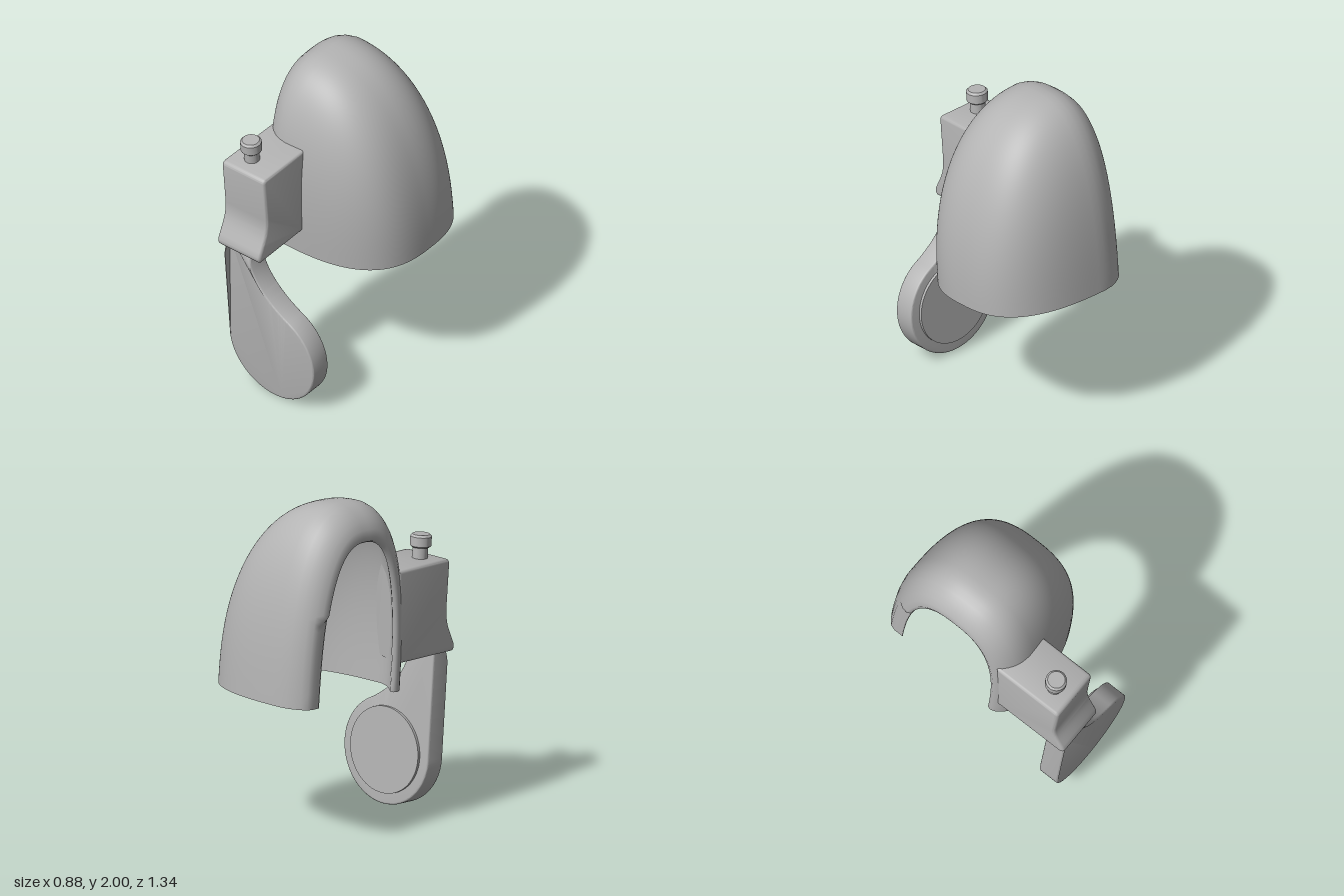
import * as THREE from 'three';
import { toCreasedNormals } from 'three/addons/utils/BufferGeometryUtils.js';

const TILT = 0.085;
const HALF_PI = Math.PI / 2;

// Superellipse helpers: power of a sine or cosine, and falloff from 1 to 0
const sp = (t, n) => Math.sign(t) * Math.abs(t) ** (2 / n);
const falloff = (t, n) => Math.max(0, 1 - t ** n) ** (1 / n);

// Stations of the shell: x position, arch half-width and arch height
function shellStations() {
  const W = 0.477, H = 1.141, X0 = -0.25, T = 0.05, STEPS = 40;
  const dome = (inset, i) => {
    const t = i === STEPS ? 1 : sp(Math.sin((i / STEPS) * HALF_PI), 2.4);
    return [X0 + (0.687 - inset) * t, (W - inset) * falloff(t, 2.7), (H - inset) * falloff(t, 2.2)];
  };
  const rim = ([x, d]) => [x, W - d, H - d * 1.3];
  const outerRim = [[-0.3, 0.009], [-0.34, 0.024], [-0.375, 0.045], [-0.405, 0.07], [-0.43, 0.103], [-0.44, 0.135]];
  const innerRim = [[-0.433, 0.155], [-0.415, 0.162], [-0.395, 0.145], [-0.365, 0.115], [-0.335, 0.09], [-0.3, 0.07]];
  const list = [];
  for (let i = STEPS; i >= 0; i--) list.push(dome(0, i));
  list.push(...outerRim.map(rim), ...innerRim.map(rim));
  for (let i = 0; i <= STEPS; i++) list.push(dome(T, i));
  return list;
}

function shellGeometries() {
  const stations = shellStations();
  const N = stations.length, U = 80;
  const point = (u, v) => {
    const a = (u / U) * Math.PI;
    const [x, w, h] = stations[v];
    const y = u === U ? 0 : h * sp(Math.sin(a), 2.65);
    const z = -w * sp(Math.cos(a), 2.65);
    // The rear leg of the rim is trimmed shorter
    const trimmed = z < -0.25 && y < 0.52;
    return [trimmed ? Math.max(x, -0.415) : x, y, z];
  };

  // Outer skin, rolled rim and inner skin as one grid
  const pos = [], idx = [];
  for (let u = 0; u <= U; u++) {
    for (let v = 0; v < N; v++) {
      pos.push(...point(u, v));
      if (u < U && v < N - 1) {
        const a = u * N + v, b = a + 1, c = a + N, d = c + 1;
        idx.push(a, b, d, a, d, c);
      }
    }
  }
  const skin = new THREE.BufferGeometry();
  skin.setAttribute('position', new THREE.Float32BufferAttribute(pos, 3));
  skin.setIndex(idx);
  skin.computeVertexNormals();

  // Flat lower edge joining the two skins
  const edge = [];
  for (const u of [0, U]) {
    for (let v = 0; v < N / 2 - 1; v++) {
      const o = point(u, v), n = point(u, N - 1 - v);
      const o2 = point(u, v + 1), n2 = point(u, N - 2 - v);
      const tris = u === 0 ? [o, n, o2, o2, n, n2] : [o, o2, n, o2, n2, n];
      edge.push(...tris.flat());
    }
  }
  const lower = new THREE.BufferGeometry();
  lower.setAttribute('position', new THREE.Float32BufferAttribute(edge, 3));
  lower.computeVertexNormals();
  return [skin, lower];
}

// Mounting block: side profile in (z, y), extruded across x
function blockGeometry() {
  const B = 0.02;
  const s = new THREE.Shape();
  s.moveTo(0.295, 1.005);
  s.lineTo(0.645, 0.972);
  s.quadraticCurveTo(0.652, 0.978, 0.648, 0.992);
  s.bezierCurveTo(0.61, 1.08, 0.58, 1.12, 0.585, 1.22);
  s.lineTo(0.609, 1.485);
  s.quadraticCurveTo(0.609, 1.493, 0.6, 1.495);
  s.lineTo(0.29, 1.521);
  s.closePath();
  const g = new THREE.ExtrudeGeometry(s, {
    depth: 0.32 - 2 * B, bevelEnabled: true, bevelSize: B, bevelThickness: B, bevelSegments: 4, curveSegments: 12,
  });
  g.rotateY(-HALF_PI).translate(-0.11 - B, 0, 0);
  // Slant the hidden rear face to follow the curved shell
  const p = g.attributes.position;
  for (let i = 0; i < p.count; i++) {
    if (p.getZ(i) < 0.35 && p.getX(i) < -0.3) p.setZ(i, p.getZ(i) - 0.09);
  }
  return toCreasedNormals(g, 0.6);
}

// Teardrop lever: straight left edge, round foot, concave neck
function leverGeometry() {
  const B = 0.01, R = 0.317 - B, cx = -0.079, cy = 0.32;
  const s = new THREE.Shape();
  s.moveTo(cx - R, 1.0);
  for (const y of [0.96, 0.93, 0.9, 0.87, cy]) s.lineTo(cx - R, y);
  s.absarc(cx, cy, R, Math.PI, Math.PI * 2 + 1.1, false);
  s.bezierCurveTo(-0.06, 0.66, -0.2, 0.78, -0.215, 0.95);
  s.lineTo(-0.215, 1.0);
  s.closePath();
  const g = new THREE.ExtrudeGeometry(s, {
    depth: 0.13 - 2 * B, bevelEnabled: true, bevelSize: B, bevelThickness: B, bevelSegments: 3, curveSegments: 40,
  });
  g.translate(0, 0, -0.065 + B);
  // Round the front of the upper end backwards into the block
  const p = g.attributes.position;
  for (let i = 0; i < p.count; i++) {
    const rise = p.getY(i) - 0.87;
    if (rise > 0 && p.getZ(i) > 0) p.setZ(i, p.getZ(i) - 3 * rise * rise);
  }
  return toCreasedNormals(g, 0.6);
}

// Screw turned from one profile
function screwGeometry() {
  const pts = [[0, -0.06], [0.045, -0.06], [0.045, 0.085], [0.054, 0.085], [0.062, 0.093],
    [0.062, 0.148], [0.05, 0.16], [0, 0.16]].map(([r, y]) => new THREE.Vector2(r, y));
  return toCreasedNormals(new THREE.LatheGeometry(pts, 40), 0.6);
}

export function createModel() {
  const model = new THREE.Group();
  const grey = new THREE.MeshStandardMaterial({ color: 0xb3b3b3 });
  grey.name = 'plainGrey';
  const add = (parent, name, geometry) => {
    const mesh = new THREE.Mesh(geometry, grey);
    mesh.name = name;
    parent.add(mesh);
    return mesh;
  };
  const tilted = (name, x, y, z) => {
    const g = new THREE.Group();
    g.name = name;
    g.position.set(x, y, z);
    g.rotation.x = TILT;
    model.add(g);
    return g;
  };

  // Hollow domed shell, open below and on one side
  const shell = tilted('shell', 0, 0.86, -0.195);
  const [skin, lower] = shellGeometries();
  add(shell, 'shellSkin', skin);
  add(shell, 'shellLowerEdge', lower);

  add(model, 'mountingBlock', blockGeometry());

  // Adjusting screw on top of the block
  add(tilted('screw', -0.302, 1.503, 0.507), 'adjustingScrew', screwGeometry());

  // Lever with a raised round pad on its rear face
  const lever = tilted('lever', 0, 0.003, 0.508);
  add(lever, 'leverPlate', leverGeometry());
  const pad = add(lever, 'roundPad', new THREE.CylinderGeometry(0.255, 0.255, 0.03, 64));
  pad.rotation.x = HALF_PI;
  pad.position.set(-0.079, 0.325, -0.067);

  return model;
}
